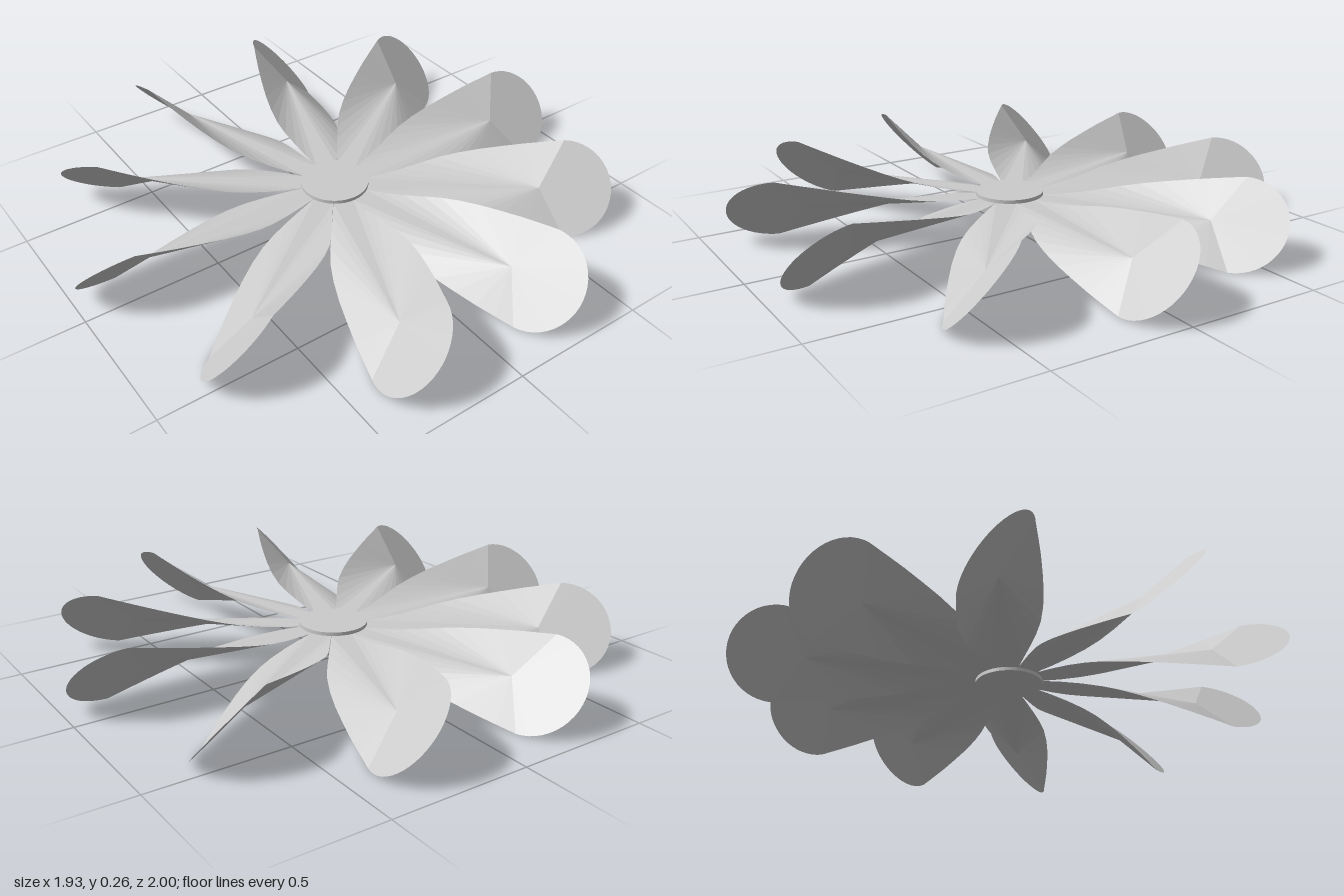
import * as THREE from 'three';

const MID = 0.144; // height of the petal axis
const TILT = THREE.MathUtils.degToRad(49); // pitch of the rounded tip

// One twisted petal along +z: a fan from an inner point to a twisting rim
function petalGeometry() {
  // [distance from centre, half width seen from above]
  const stations = [[0.115, 0.037], [0.18, 0.058], [0.25, 0.082], [0.32, 0.106], [0.38, 0.122],
    [0.45, 0.131], [0.53, 0.134], [0.61, 0.132], [0.69, 0.128], [0.76, 0.122], [0.83, 0.115]];
  const side = stations.map(([r, w]) => {
    const angle = TILT * (r - 0.115) / (0.83 - 0.115);
    return new THREE.Vector3(w, w * Math.tan(angle), r);
  });
  // Flat rounded tip
  const capSteps = 12;
  const end = side[side.length - 1];
  for (let i = 1; i < capSteps; i++) {
    const a = (i / capSteps) * Math.PI / 2;
    side.push(new THREE.Vector3(end.x * Math.cos(a), end.y * Math.cos(a), 0.83 + 0.17 * Math.sin(a)));
  }
  const mirrored = side.map((p) => new THREE.Vector3(-p.x, -p.y, p.z)).reverse();
  const rim = [...side, new THREE.Vector3(0, 0, 1), ...mirrored];
  const apex = new THREE.Vector3(0, 0, 0.74);
  const points = [];
  rim.forEach((p, i) => points.push(apex, rim[(i + 1) % rim.length], p));
  // Counter-clockwise seen from above
  for (let i = 0; i < points.length; i += 3) {
    [points[i + 1], points[i + 2]] = [points[i + 2], points[i + 1]];
  }
  const geometry = new THREE.BufferGeometry().setFromPoints(points);
  geometry.computeVertexNormals();
  return geometry;
}

export function createModel() {
  const group = new THREE.Group();
  group.name = 'flower';

  // Ring of ten petals
  const petalMaterial = new THREE.MeshStandardMaterial({
    color: 0xcccccc, flatShading: true, side: THREE.DoubleSide,
  });
  const geometry = petalGeometry();
  const count = 10;
  for (let i = 0; i < count; i++) {
    const petal = new THREE.Mesh(geometry, petalMaterial);
    petal.name = `petal${i + 1}`;
    petal.position.y = MID;
    petal.rotation.y = THREE.MathUtils.degToRad(-1.7) + (i / count) * Math.PI * 2;
    group.add(petal);
  }

  // Thin round hub
  const hub = new THREE.Mesh(
    new THREE.CylinderGeometry(0.123, 0.123, 0.026, 40),
    new THREE.MeshStandardMaterial({ color: 0xcccccc }),
  );
  hub.name = 'hub';
  hub.position.y = MID;
  group.add(hub);

  return group;
}
